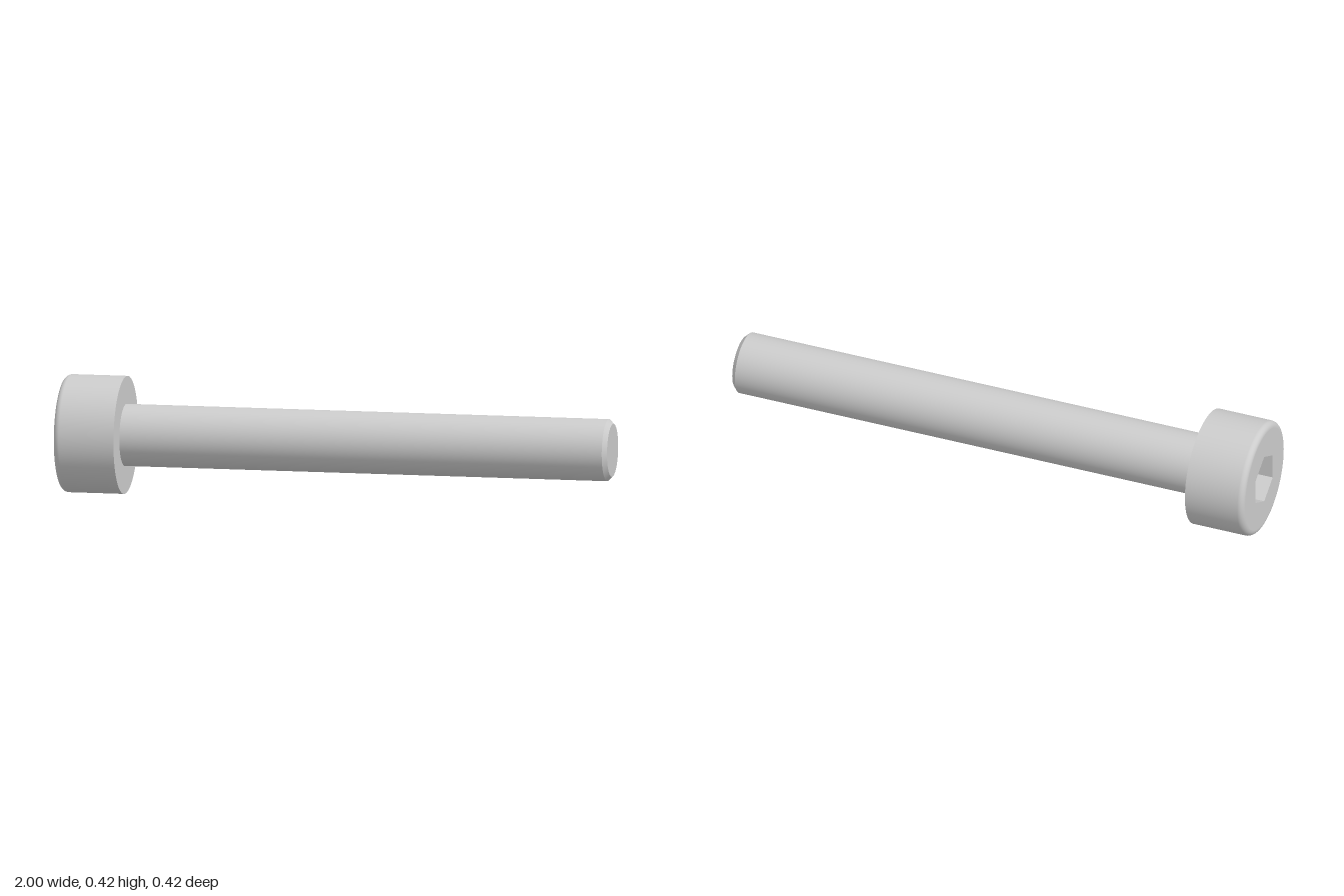
import * as THREE from 'three';

const HEAD_R = 0.211, HEAD_L = 0.222, FILLET = 0.022;
const SHANK_R = 0.111, CHAMFER = 0.016;
const HEX_R = 0.097, HEX_DEPTH = 0.111;
const SEGMENTS = 96;

export function createModel() {
  const group = new THREE.Group();
  group.name = 'socketHeadScrew';
  const smooth = new THREE.MeshStandardMaterial({ color: 0xcccccc });
  const faceted = new THREE.MeshStandardMaterial({ color: 0xcccccc, flatShading: true, side: THREE.DoubleSide });

  const add = (name, geometry, material = smooth) => {
    const mesh = new THREE.Mesh(geometry, material);
    mesh.name = name;
    group.add(mesh);
    return mesh;
  };

  // Surface of revolution about the x axis from [x, radius] pairs
  const turn = (name, profile) => {
    const points = profile.map(([x, r]) => new THREE.Vector2(r, x));
    return add(name, new THREE.LatheGeometry(points, SEGMENTS).rotateZ(-Math.PI / 2));
  };

  // Head: rounded outer rim running into the straight side
  const under = -1 + HEAD_L;
  const rim = [];
  for (let i = 0; i <= 8; i++) {
    const a = (i / 8) * Math.PI / 2;
    rim.push([-1 + FILLET * (1 - Math.sin(a)), HEAD_R - FILLET * (1 - Math.cos(a))]);
  }
  rim.reverse(); // from the side back to the end face
  rim.sort((p, q) => p[0] - q[0]);
  turn('headSide', [...rim, [under, HEAD_R]]);
  turn('headUnderside', [[under, HEAD_R], [under, SHANK_R]]);

  // Shank with chamfered tip
  turn('shank', [[under, SHANK_R], [1 - CHAMFER, SHANK_R]]);
  turn('tipChamfer', [[1 - CHAMFER, SHANK_R], [1, SHANK_R - CHAMFER]]);
  turn('tipFace', [[1, SHANK_R - CHAMFER], [1, 0]]);

  // End face of the head with hexagonal opening, a corner pointing up
  const face = new THREE.Shape().absarc(0, 0, HEAD_R - FILLET, 0, Math.PI * 2);
  const hex = [];
  for (let i = 0; i < 6; i++) {
    const a = Math.PI / 6 + i * Math.PI / 3;
    hex.push(new THREE.Vector2(HEX_R * Math.cos(a), HEX_R * Math.sin(a)));
  }
  face.holes.push(new THREE.Path(hex));
  add('headFace', new THREE.ShapeGeometry(face, SEGMENTS / 2).rotateY(-Math.PI / 2)).position.x = -1;

  // Hexagonal socket: walls and floor
  const walls = new THREE.CylinderGeometry(HEX_R, HEX_R, HEX_DEPTH, 6, 1, true, Math.PI / 6);
  add('socketWalls', walls.rotateZ(-Math.PI / 2), faceted).position.x = -1 + HEX_DEPTH / 2;
  const floor = new THREE.CircleGeometry(HEX_R, 6, Math.PI / 6);
  add('socketFloor', floor.rotateY(-Math.PI / 2), faceted).position.x = -1 + HEX_DEPTH;

  // Rest the head on the ground
  group.position.y = HEAD_R;
  return group;
}
